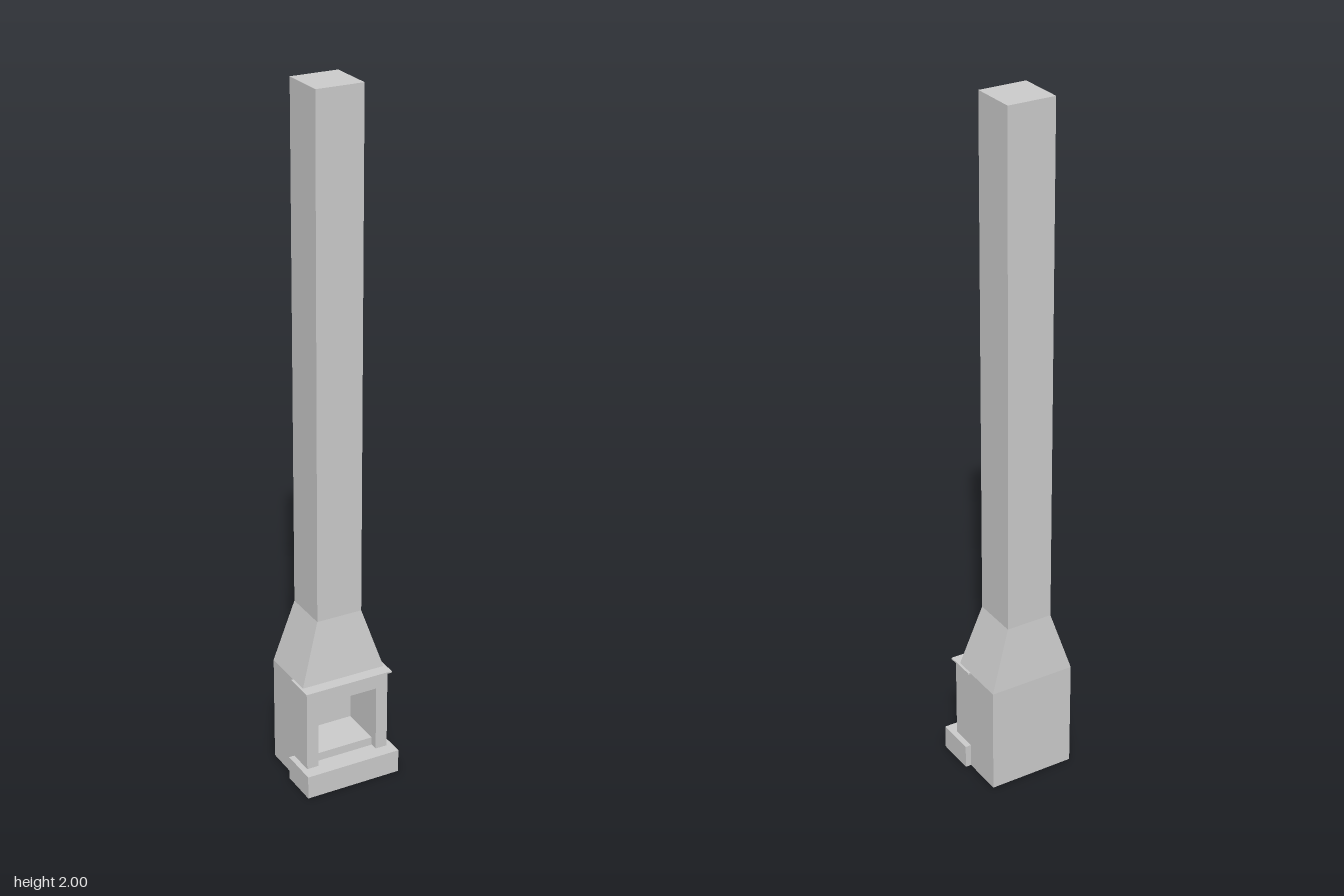
import * as THREE from 'three';

const stone = new THREE.MeshStandardMaterial({ color: 0xcccccc });
stone.name = 'stone';

export function createModel() {
  const model = new THREE.Group();
  model.name = 'fireplace';

  const add = (name, geometry) => {
    const mesh = new THREE.Mesh(geometry, stone);
    mesh.name = name;
    model.add(mesh);
    return mesh;
  };

  // Box given by its half width and its y and z ranges
  const block = (name, halfX, y0, y1, z0, z1) =>
    add(name, new THREE.BoxGeometry(halfX * 2, y1 - y0, z1 - z0)
      .translate(0, (y0 + y1) / 2, (z0 + z1) / 2));

  const W = 0.128, BACK = -0.122, FRONT = 0.08, TOP = 0.32;
  const openW = 0.092, openTop = 0.27, fireBack = -0.07;

  // Surround: two jambs and a lintel, as deep as the firebox
  const outline = new THREE.Shape([
    [-W, 0], [-openW, 0], [-openW, openTop], [openW, openTop],
    [openW, 0], [W, 0], [W, TOP], [-W, TOP],
  ].map(([x, y]) => new THREE.Vector2(x, y)));
  add('surround', new THREE.ExtrudeGeometry(outline, { depth: FRONT - fireBack, bevelEnabled: false })
    .translate(0, 0, fireBack));

  block('backWall', W, 0, TOP, BACK, fireBack);
  block('fireboxFloor', openW, 0, 0.095, fireBack, 0.057);
  block('hearth', 0.145, 0, 0.07, 0.002, 0.118);
  block('mantelShelf', 0.135, TOP - 0.004, TOP + 0.001, 0, 0.092);

  // Hood: a box whose upper end narrows to the chimney
  const stackW = 0.069, stackBack = -0.105, stackFront = 0.032, hoodTop = 0.504;
  const hood = new THREE.BoxGeometry(2, 1, 2);
  const p = hood.attributes.position;
  for (let i = 0; i < p.count; i++) {
    const up = p.getY(i) > 0, front = p.getZ(i) > 0;
    p.setXYZ(i,
      p.getX(i) * (up ? stackW : W),
      up ? hoodTop : TOP,
      up ? (front ? stackFront : stackBack) : (front ? 0.057 : BACK));
  }
  hood.computeVertexNormals();
  add('hood', hood);

  block('chimney', stackW, hoodTop, 2, stackBack, stackFront);
  return model;
}
